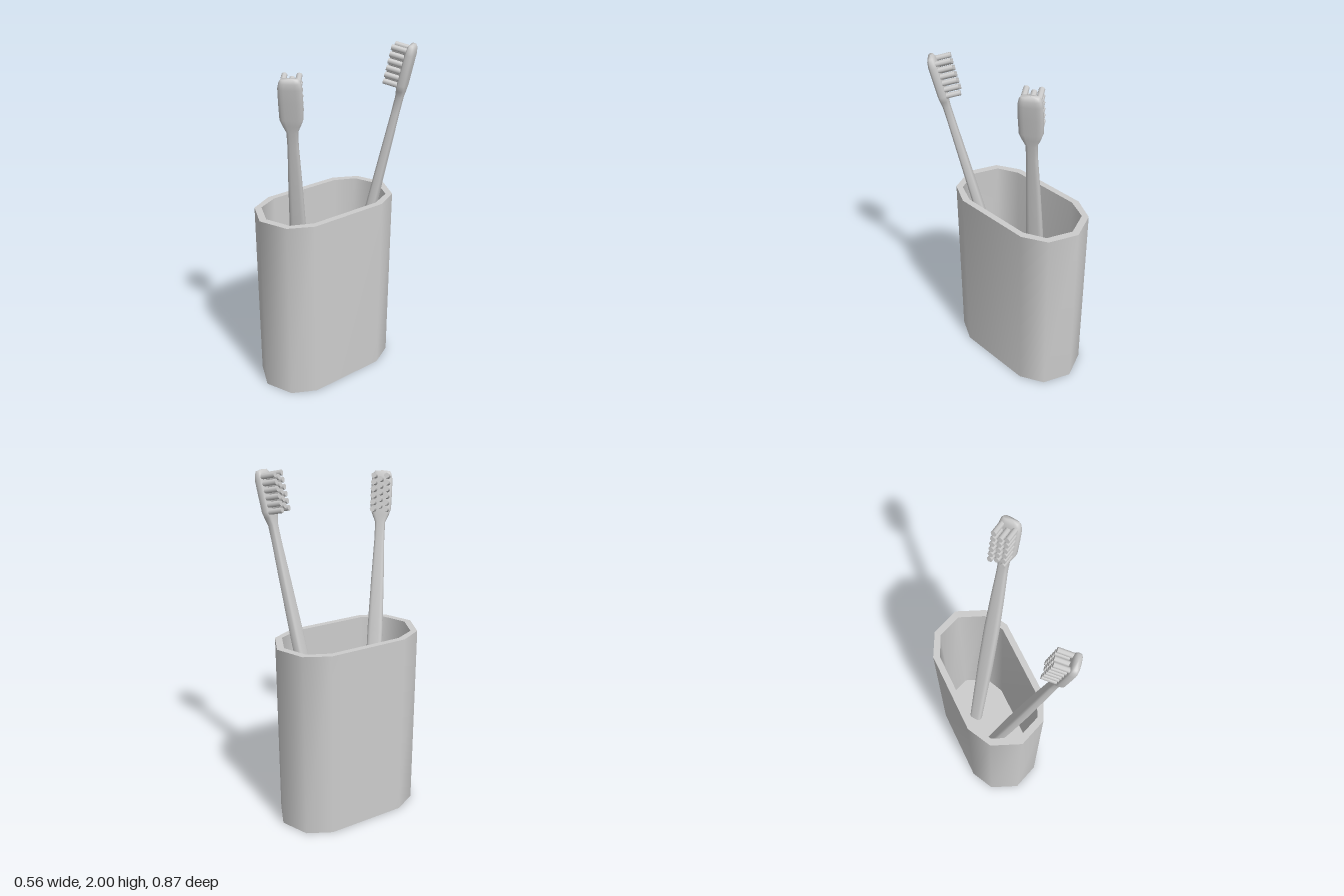
import * as THREE from 'three';
import { mergeGeometries } from 'three/addons/utils/BufferGeometryUtils.js';

// Smooth skin through equal-length rings of Vector3 (bottom to top, turning from +x to +z)
function loft(rings) {
  const n = rings[0].length, index = [];
  for (let r = 0; r < rings.length - 1; r++) {
    for (let i = 0; i < n; i++) {
      const j = (i + 1) % n, a = r * n + i, b = r * n + j;
      index.push(a, a + n, b, b, a + n, b + n);
    }
  }
  const geo = new THREE.BufferGeometry().setFromPoints(rings.flat());
  geo.setIndex(index);
  geo.computeVertexNormals();
  return geo;
}

// Ten-sided oval outline from one quarter, as [x, z] pairs
function outline(x1, z1, x2, z2, z3) {
  return [[x1, z1], [x2, z2], [0, z3], [-x2, z2], [-x1, z1],
    [-x1, -z1], [-x2, -z2], [0, -z3], [x2, -z2], [x1, -z1]];
}

function createCup(material) {
  const cup = new THREE.Group();
  cup.name = 'cup';
  const height = 1.1, floorY = 0.04;
  const outer = outline(0.23, 0.232, 0.16, 0.368, 0.435);
  const inner = outline(0.195, 0.214, 0.14, 0.335, 0.393);
  const ring = (pts, y) => pts.map(([x, z]) => new THREE.Vector3(x, y, z));
  const flat = (pts) => pts.map(([x, z]) => new THREE.Vector2(x, z));
  const add = (name, geo, y = 0) => {
    const mesh = new THREE.Mesh(geo, material);
    mesh.name = name;
    mesh.position.y = y;
    cup.add(mesh);
  };
  add('outerWall', loft([ring(outer, 0), ring(outer, height)]));
  const innerReversed = [...inner].reverse();
  add('innerWall', loft([ring(innerReversed, floorY), ring(innerReversed, height)]));
  const rim = new THREE.Shape(flat(outer));
  rim.holes.push(new THREE.Path(flat(inner)));
  add('rim', new THREE.ShapeGeometry(rim).rotateX(-Math.PI / 2), height);
  add('cupFloor', new THREE.ShapeGeometry(new THREE.Shape(flat(inner))).rotateX(-Math.PI / 2), floorY);
  add('cupBase', new THREE.ShapeGeometry(new THREE.Shape(flat(outer))).rotateX(Math.PI / 2));
  cup.position.set(-0.06, 0, -0.005);
  return cup;
}

// Rounded-rectangle section
function section(y, halfW, halfD, n = 20) {
  const pts = [];
  const soft = (v) => Math.sign(v) * Math.pow(Math.abs(v), 0.6);
  for (let i = 0; i < n; i++) {
    const a = (i / n) * Math.PI * 2;
    pts.push(new THREE.Vector3(halfW * soft(Math.cos(a)), y, halfD * soft(Math.sin(a))));
  }
  return pts;
}

function createBrush(name, bottom, top, material) {
  const brush = new THREE.Group();
  brush.name = name;
  const axis = top.clone().sub(bottom), length = axis.length();
  axis.normalize();

  // Handle and head: distance below the tip, half width, half depth
  const profile = [
    [length, 0.04, 0.026], [1.6, 0.043, 0.029], [1.3, 0.046, 0.03], [0.9, 0.044, 0.028],
    [0.6, 0.036, 0.024], [0.38, 0.028, 0.021], [0.29, 0.029, 0.021], [0.25, 0.047, 0.024],
    [0.215, 0.059, 0.026], [0.12, 0.06, 0.026], [0.05, 0.059, 0.026], [0.02, 0.052, 0.022],
    [0.004, 0.042, 0.014], [0, 0.001, 0.001],
  ];
  const body = new THREE.Mesh(loft(profile.map(([d, w, t]) => section(length - d, w, t))), material);
  body.name = 'handleAndHead';
  brush.add(body);

  // Flat butt end of the handle
  const buttShape = new THREE.Shape(section(0, 0.04, 0.026).map((p) => new THREE.Vector2(p.x, p.z)));
  const butt = new THREE.Mesh(new THREE.ShapeGeometry(buttShape).rotateX(Math.PI / 2), material);
  butt.name = 'handleEnd';
  brush.add(butt);

  // Staggered bristle tufts on the inward face
  const tufts = [];
  for (let col = -1; col <= 1; col++) {
    const rows = col === 0 ? 5 : 6;
    for (let row = 0; row < rows; row++) {
      const d = 0.035 + row * 0.037 + (col === 0 ? 0.0185 : 0);
      tufts.push(new THREE.CylinderGeometry(0.015, 0.015, 0.08, 8)
        .rotateX(Math.PI / 2).translate(col * 0.036, length - d, -0.058));
    }
  }
  const bristles = new THREE.Mesh(mergeGeometries(tufts), material);
  bristles.name = 'bristles';
  brush.add(bristles);

  // Lean along the axis, with the back of the head facing outward
  const back = new THREE.Vector3(axis.x, 0, axis.z).normalize();
  back.addScaledVector(axis, -back.dot(axis)).normalize();
  const side = new THREE.Vector3().crossVectors(axis, back);
  brush.quaternion.setFromRotationMatrix(new THREE.Matrix4().makeBasis(side, axis, back));
  brush.position.copy(bottom);
  return brush;
}

export function createModel() {
  const model = new THREE.Group();
  model.name = 'toothbrushHolder';
  const grey = new THREE.MeshStandardMaterial({ color: 0xcccccc });
  grey.name = 'light grey';
  const v = (x, y, z) => new THREE.Vector3(x, y, z);
  model.add(
    createCup(grey),
    createBrush('frontBrush', v(-0.13, 0.055, 0.1), v(0.2, 1.935, 0.39), grey),
    createBrush('backBrush', v(-0.105, 0.055, -0.125), v(0.235, 1.995, -0.352), grey),
  );
  return model;
}
